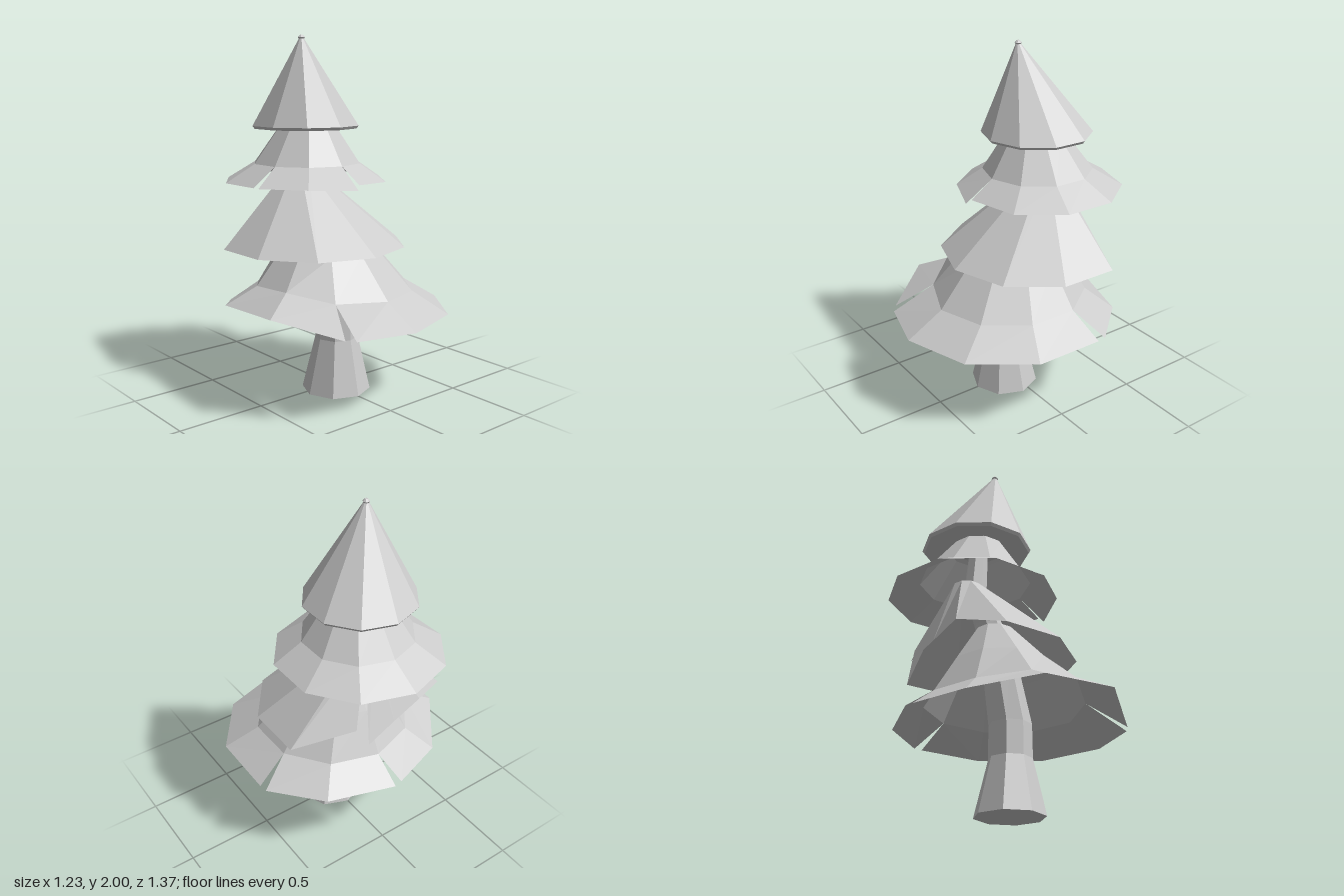
import * as THREE from 'three';

const SIDES = 10;

function material() {
  return new THREE.MeshStandardMaterial({ color: 0xcccccc, flatShading: true, side: THREE.DoubleSide });
}

// Joins rings [y, centreX, centreZ, radius] from bottom to top.
// edits moves single corners, keyed by ring:corner; a trailing s or e moves only
// the corner of the panel that starts or ends there, which opens a slit.
function loft(name, rings, sides, edits = {}) {
  const corner = (ring, k, end) => {
    const i = k % sides;
    const moved = edits[`${ring}:${i}${end}`] || edits[`${ring}:${i}`];
    if (moved) return moved;
    const [y, cx, cz, r] = rings[ring];
    const a = (i / sides) * Math.PI * 2;
    return [cx + r * Math.sin(a), y, cz + r * Math.cos(a)];
  };
  const pos = [];
  for (let ring = 0; ring < rings.length - 1; ring++) {
    for (let k = 0; k < sides; k++) {
      const a = corner(ring, k, 's');
      const b = corner(ring, k + 1, 'e');
      const c = corner(ring + 1, k + 1, 'e');
      const d = corner(ring + 1, k, 's');
      pos.push(...a, ...b, ...c);
      if (rings[ring + 1][3] > 0) pos.push(...a, ...c, ...d);
    }
  }
  const geometry = new THREE.BufferGeometry();
  geometry.setAttribute('position', new THREE.Float32BufferAttribute(pos, 3));
  geometry.computeVertexNormals();
  const mesh = new THREE.Mesh(geometry, material());
  mesh.name = name;
  return mesh;
}

export function createModel() {
  const tree = new THREE.Group();
  tree.name = 'pineTree';

  // Flared eight-sided trunk, leaning back as it rises, with a closed base
  tree.add(loft('trunk', [
    [0, 0, 0.045, 0],
    [0, 0, 0.045, 0.195],
    [0.31, 0, 0.05, 0.122],
    [0.5, 0, 0.05, 0.12],
    [0.85, 0, -0.02, 0.1],
    [1.05, -0.01, -0.1, 0.08],
    [1.25, -0.02, -0.2, 0.065],
    [1.6, -0.03, -0.18, 0.05],
  ], 8));

  // Lowest skirt: three slits and a lifted flap on the -x side
  tree.add(loft('lowestBranches', [
    [0.48, 0, 0.045, 0.637],
    [0.6, 0, 0.02, 0.45],
    [0.82, -0.01, -0.015, 0.285],
    [1.03, -0.01, -0.06, 0.11],
  ], SIDES, {
    '0:3e': [0.61, 0.48, -0.155],
    '0:3s': [0.605, 0.48, -0.205],
    '0:5s': [-0.05, 0.48, -0.58],
    '0:7': [-0.605, 0.55, -0.17],
    '0:8': [-0.615, 0.57, 0.26],
    '0:9e': [-0.375, 0.485, 0.56],
    '0:9s': [-0.33, 0.48, 0.595],
    '1:7': [-0.43, 0.64, -0.12],
    '1:8': [-0.44, 0.66, 0.16],
    '1:9': [-0.27, 0.61, 0.36],
  }));

  // Second skirt, pulled in and torn at the back
  tree.add(loft('lowerBranches', [
    [0.82, 0, -0.16, 0.535],
    [1.25, -0.02, -0.255, 0.08],
  ], SIDES, {
    '0:4e': [0.18, 0.88, -0.46],
    '0:4s': [0.13, 0.79, -0.505],
    '0:5': [-0.06, 0.845, -0.48],
    '0:6': [-0.25, 0.9, -0.46],
  }));

  // Third skirt with slits at the front and the -x side
  tree.add(loft('upperBranches', [
    [1.187, -0.015, -0.215, 0.472],
    [1.29, -0.015, -0.2, 0.312],
    [1.5, -0.02, -0.185, 0.165],
    [1.6, -0.03, -0.18, 0.09],
  ], SIDES, {
    '0:0e': [-0.035, 1.175, 0.27],
    '0:0s': [-0.01, 1.2, 0.25],
    '0:8e': [-0.46, 1.187, -0.095],
    '0:8s': [-0.46, 1.187, -0.05],
  }));

  // Crown cone with a thick turned-under lip and a leaning tip
  tree.add(loft('crown', [
    [1.54, -0.025, -0.19, 0.05],
    [1.5, -0.025, -0.2, 0.26],
    [1.487, -0.025, -0.2, 0.3],
    [1.503, -0.025, -0.2, 0.312],
    [1.985, -0.105, -0.128, 0.012],
  ], SIDES));

  // Small bud on the tip
  tree.add(loft('tipBud', [
    [1.975, -0.105, -0.128, 0.012],
    [1.988, -0.105, -0.128, 0.02],
    [2, -0.105, -0.128, 0.009],
    [2, -0.105, -0.128, 0],
  ], 8));

  return tree;
}
